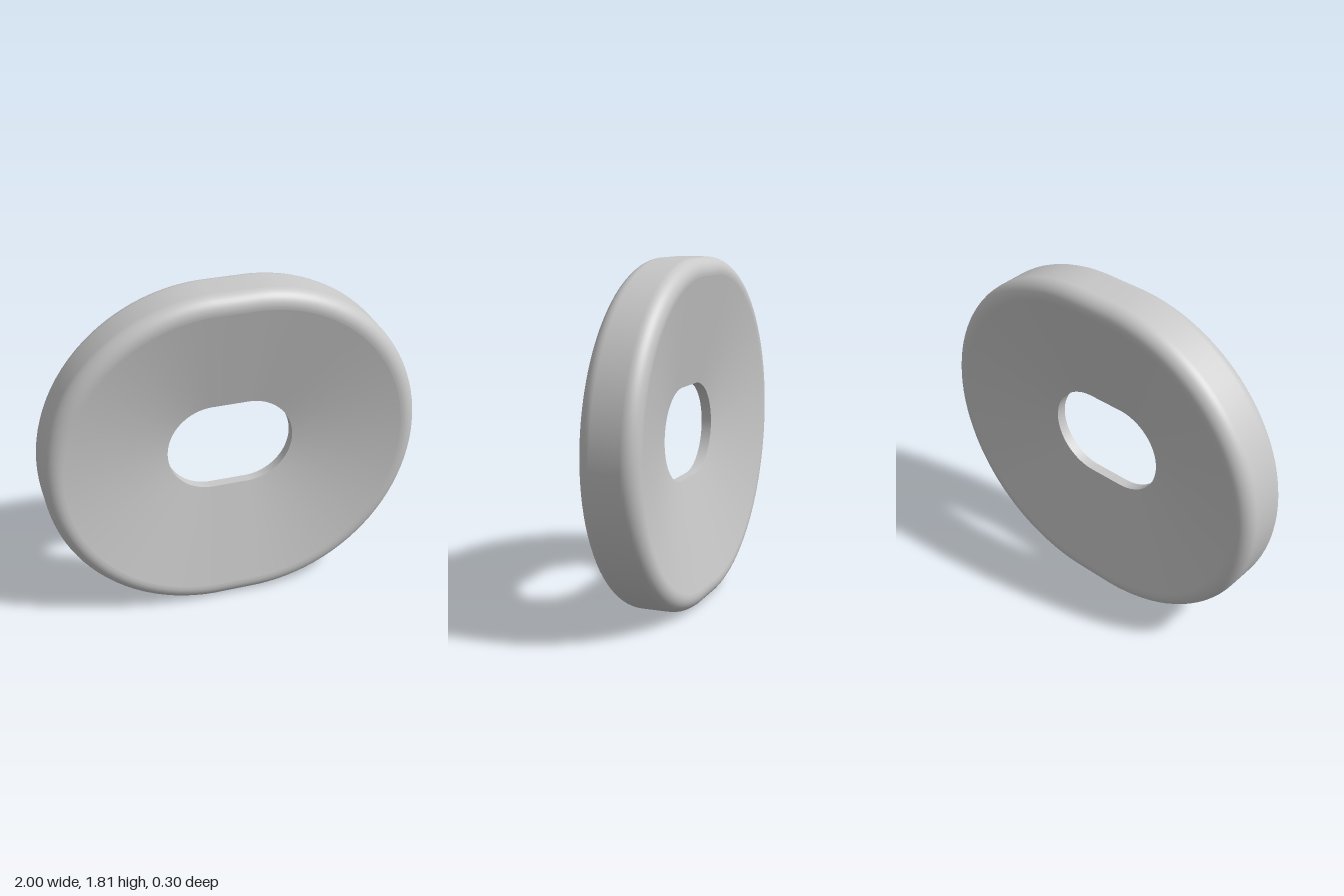
import * as THREE from 'three';

const SEGMENTS = 96;
const STRETCH = 0.096; // half length of the straight run at top and bottom
const OUTER = 0.904, HOLE = 0.244, HALF_DEPTH = 0.15, HALF_WEB = 0.027;
const ROUND = 0.075; // rim edge rounding
const SLOPE = 0.22; // dish angle of the faces

// Lathe a [radius, z] profile, then pull its two halves apart into a stadium outline
function stadiumRing(name, profile, material) {
  const points = profile.map(([r, z]) => new THREE.Vector2(r, z));
  const geometry = new THREE.LatheGeometry(points, SEGMENTS, Math.PI / SEGMENTS, Math.PI * 2);
  const pos = geometry.attributes.position;
  for (let i = 0; i < pos.count; i++) {
    pos.setX(i, pos.getX(i) + Math.sign(pos.getX(i)) * STRETCH);
  }
  geometry.rotateX(Math.PI / 2);
  const mesh = new THREE.Mesh(geometry, material);
  mesh.name = name;
  return mesh;
}

export function createModel() {
  const group = new THREE.Group();
  group.name = 'dishedRing';
  const grey = new THREE.MeshStandardMaterial({ color: 0xc8c8c8 });
  grey.name = 'lightGrey';

  // Rounded rim: the front arc runs from the outer wall to the start of the dish
  const frontArc = [];
  for (let i = 0; i <= 10; i++) {
    const a = (i / 10) * (Math.PI / 2 + SLOPE);
    frontArc.push([
      OUTER - ROUND + ROUND * Math.cos(a),
      HALF_DEPTH - ROUND + ROUND * Math.sin(a),
    ]);
  }
  const backArc = frontArc.map(([r, z]) => [r, -z]).reverse();
  const [lipR, lipZ] = frontArc[frontArc.length - 1];

  group.add(
    stadiumRing('rim', [...backArc, ...frontArc], grey),
    stadiumRing('frontDish', [[lipR, lipZ], [HOLE, HALF_WEB]], grey),
    stadiumRing('backDish', [[HOLE, -HALF_WEB], [lipR, -lipZ]], grey),
    stadiumRing('holeWall', [[HOLE, HALF_WEB], [HOLE, -HALF_WEB]], grey),
  );
  for (const part of group.children) part.position.y = OUTER;
  return group;
}
